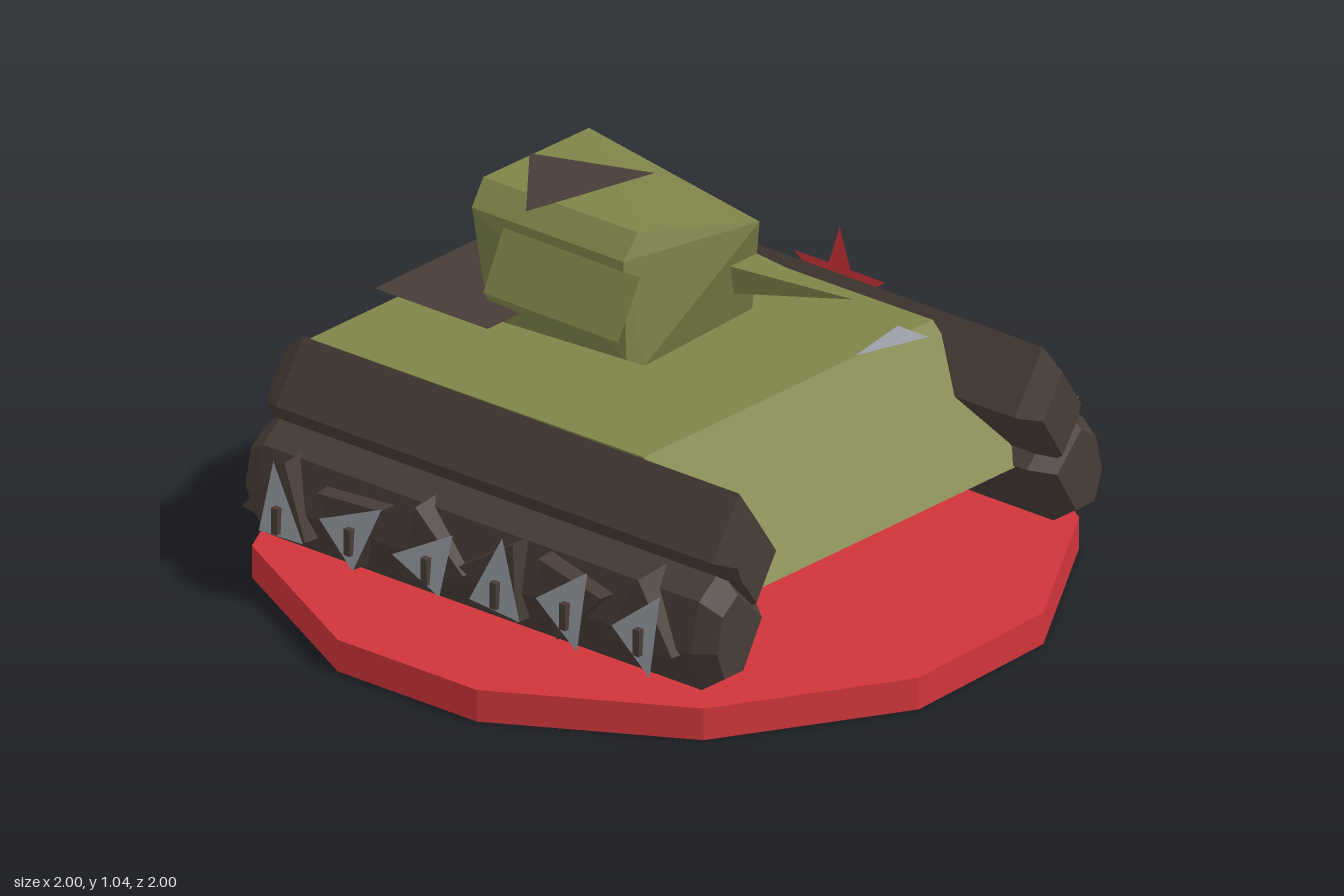
import * as THREE from 'three';
import { ConvexGeometry } from 'three/addons/geometries/ConvexGeometry.js';

const mat = (name, color, side = THREE.FrontSide) => {
  const m = new THREE.MeshStandardMaterial({ color, side, flatShading: true });
  m.name = name;
  return m;
};

export function createModel() {
  const green = mat('olive green', 0x7f8449);
  const red = mat('red', 0xd0353b, THREE.DoubleSide);
  const brown = mat('dark brown', 0x483c37, THREE.DoubleSide);
  const grey = mat('steel grey', 0x9ca1a8, THREE.DoubleSide);

  const model = new THREE.Group();
  const add = (name, geometry, material, parent = model) => {
    const mesh = new THREE.Mesh(geometry, material);
    mesh.name = name;
    parent.add(mesh);
    return mesh;
  };
  // Faceted solid around a few corner points
  const solid = (pts) => new ConvexGeometry(pts.map((p) => new THREE.Vector3(...p)));
  // Flat convex sheet given by its corners
  const sheet = (pts) => {
    const g = new THREE.BufferGeometry();
    g.setAttribute('position', new THREE.Float32BufferAttribute(pts.flat(), 3));
    g.setIndex(pts.slice(2).flatMap((_, i) => [0, i + 1, i + 2]));
    g.computeVertexNormals();
    return g;
  };

  // Round base with uneven sides
  const rim = [
    [-0.24, -0.98], [0, -1], [0.28, -0.96], [0.73, -0.7], [0.98, -0.25], [1, 0], [0.96, 0.3],
    [0.73, 0.68], [0.25, 0.98], [-0.24, 1], [-0.72, 0.72], [-1, 0.23], [-1, -0.22], [-0.72, -0.74],
  ];
  add('base', solid(rim.flatMap(([x, z]) => [[x, 0, z], [x, 0.085, z]])), red);

  // Hull with sloping front
  const profile = [[-0.67, 0.3], [-0.7, 0.595], [0.38, 0.6], [0.67, 0.3]];
  add('hull', solid(profile.flatMap(([z, y]) => [[-0.55, y, z], [0.53, y - 0.005, z]])), green);

  // Turret
  add('turret', solid([
    [0.12, 0.94, 0.175], [0.225, 0.635, 0.06], [-0.2, 0.635, 0.08], [-0.245, 0.66, 0.06],
    [-0.19, 0.98, 0.05], [-0.245, 0.92, 0.05], [-0.19, 0.98, -0.45], [-0.245, 0.92, -0.44],
    [0.205, 0.975, -0.45], [0.2, 0.64, -0.48], [0.125, 0.64, -0.53], [-0.19, 0.607, -0.43],
  ]), green);
  add('gunBarrel', solid([
    [-0.06, 0.9, 0.235], [0.04, 0.9, 0.235], [-0.05, 0.825, 0.24], [-0.01, 0.9, 0.59],
  ]), green);
  add('sideBox', solid([
    [-0.3, 0.93, -0.29], [-0.375, 0.78, -0.29], [-0.38, 0.78, 0.15], [-0.305, 0.93, 0.155],
  ]), green);

  // Loose plates
  add('turretHatch', sheet([[-0.11, 1.04, -0.37], [-0.36, 1.032, -0.165], [0, 1.042, -0.06]]), brown);
  add('engineDeck', sheet([
    [-0.33, 0.66, -0.68], [-0.33, 0.66, -0.315], [0.315, 0.66, -0.315], [0.315, 0.66, -0.68],
  ]), brown);
  add('frontPlate', sheet([[0.155, 0.652, 0.455], [0.37, 0.642, 0.505], [0.37, 0.642, 0.405]]), grey);

  // Star on the left side
  const star = new THREE.Shape();
  for (let i = 0; i < 10; i++) {
    const r = i % 2 ? 0.06 : 0.155, a = Math.PI / 2 + (i * Math.PI) / 5;
    star[i ? 'lineTo' : 'moveTo'](r * Math.cos(a), r * Math.sin(a));
  }
  add('star', new THREE.ShapeGeometry(star).rotateY(Math.PI / 2).translate(0.745, 0.47, -0.107), red);

  // Track bar: a cross-section run along z with narrowed ends
  const bar = (section) => {
    const n = section.length;
    const cx = section.reduce((s, p) => s + p[0], 0) / n;
    const cy = section.reduce((s, p) => s + p[1], 0) / n;
    const rings = [[-0.755, 0.7], [-0.7, 1], [0.71, 1], [0.77, 0.7]];
    return solid(rings.flatMap(([z, s]) =>
      section.map(([x, y]) => [cx + (x - cx) * s, cy + (y - cy) * s, z])));
  };

  // Wheel covers: corners as [z, y]
  const covers = [
    [[0.64, 0.385], [0.49, 0.267], [0.62, 0.166]],
    [[0.405, 0.38], [0.245, 0.267], [0.385, 0.166]],
    [[0.13, 0.39], [0.03, 0.2], [0.2, 0.19]],
    [[-0.03, 0.35], [-0.22, 0.245], [-0.06, 0.18]],
    [[-0.26, 0.35], [-0.455, 0.27], [-0.34, 0.165]],
    [[-0.61, 0.375], [-0.65, 0.18], [-0.5, 0.19]],
  ];

  for (const side of [1, -1]) {
    const track = new THREE.Group();
    track.name = side > 0 ? 'leftTrack' : 'rightTrack';
    track.scale.x = side;
    track.position.x = side > 0 ? 0 : -0.015;
    model.add(track);
    add('upperTrack', bar([[0.56, 0.61], [0.66, 0.455], [0.64, 0.4], [0.56, 0.29], [0.455, 0.455]]), brown, track);
    add('lowerTrack', bar([[0.63, 0.43], [0.71, 0.37], [0.74, 0.24], [0.7, 0.13], [0.6, 0.13], [0.5, 0.3]]), brown, track);

    covers.forEach((tri, i) => {
      const z = tri.reduce((s, p) => s + p[0], 0) / 3;
      const y = tri.reduce((s, p) => s + p[1], 0) / 3;
      // Jagged three-sided wheel behind each cover
      const wheel = new THREE.CylinderGeometry(0.12, 0.13, 0.13, 3)
        .rotateZ(-Math.PI / 2).rotateX(i * 1.3 + 0.5).translate(0.7, y + 0.01, z - 0.02);
      add('wheel', wheel, brown, track);
      add('wheelCover', sheet(tri.map(([tz, ty], k) => [0.775 + 0.008 * k, ty, tz])), grey, track);
      add('hub', new THREE.BoxGeometry(0.03, 0.07, 0.02).translate(0.785, y - 0.02, z), brown, track);
    });
  }
  return model;
}
